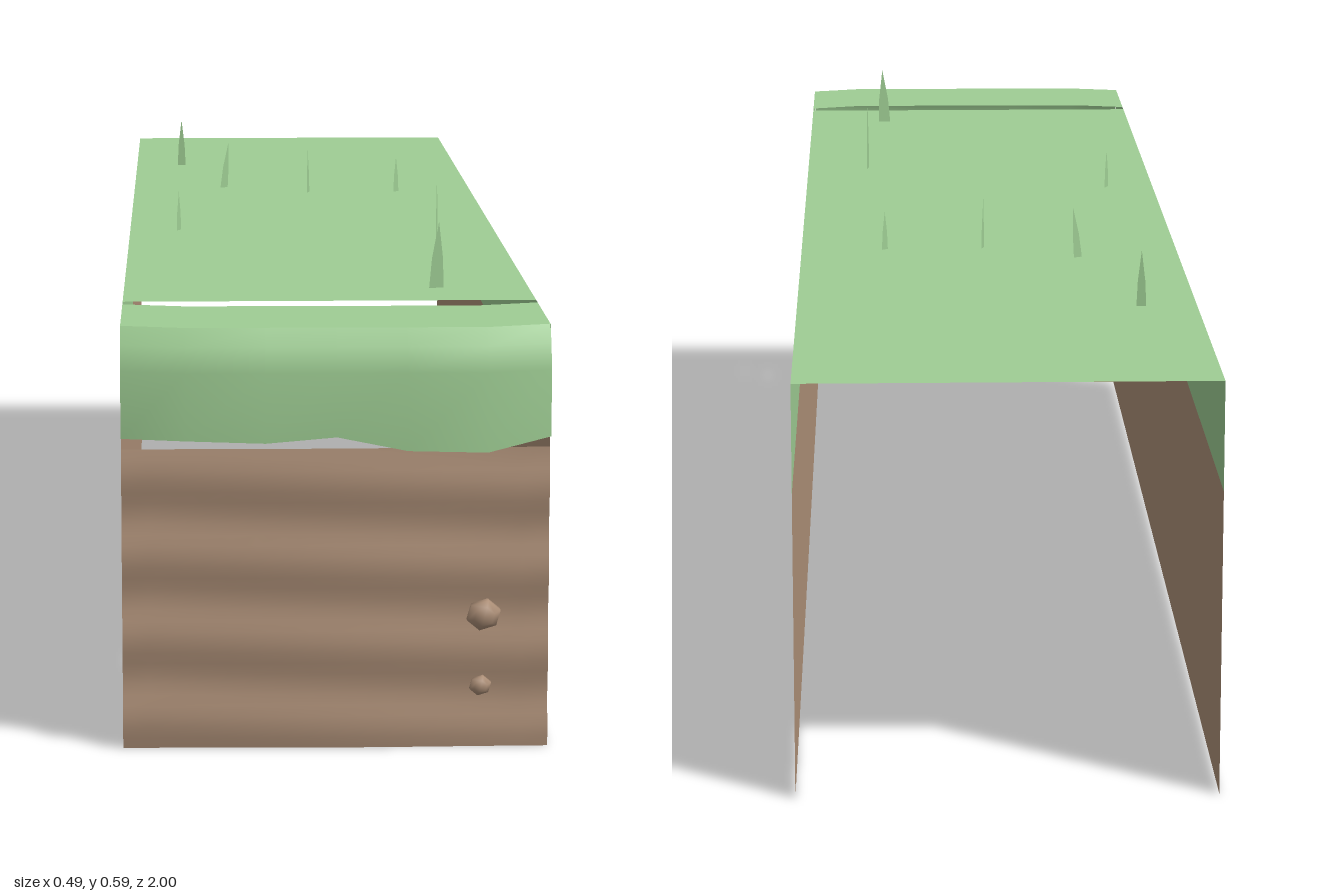
import * as THREE from 'three';

const W = 0.243; // half width
const H = 0.488; // top height

function mat(name, color) {
  const m = new THREE.MeshStandardMaterial({ color, side: THREE.DoubleSide });
  m.name = name;
  return m;
}

// Piecewise-linear lookup in a list of [key, value] pairs
function lookup(table, x) {
  for (let i = 1; i < table.length; i++) {
    const [x0, y0] = table[i - 1], [x1, y1] = table[i];
    if (x <= x1) return y0 + (y1 - y0) * (x - x0) / (x1 - x0);
  }
  return table[table.length - 1][1];
}

// Smooth sheet: fn(u, v) gives a point; u runs left to right, v top to bottom
function sheet(fn, nu, nv) {
  const g = new THREE.PlaneGeometry(1, 1, nu, nv);
  const p = g.attributes.position;
  for (let i = 0; i < p.count; i++) p.setXYZ(i, ...fn(p.getX(i) + 0.5, 0.5 - p.getY(i)));
  g.computeVertexNormals();
  return g;
}

export function createModel() {
  const group = new THREE.Group();
  const grass = mat('grass green', 0x9fce94);
  const dirt = mat('dirt brown', 0xaf9179);
  const add = (name, geo, material, x = 0, y = 0, z = 0) => {
    const m = new THREE.Mesh(geo, material);
    m.name = name;
    m.position.set(x, y, z);
    group.add(m);
    return m;
  };

  // Flat grass top, open below
  add('grassTop', new THREE.PlaneGeometry(2 * W, 1.77).rotateX(-Math.PI / 2), grass, 0, H, -0.115);

  // Side walls: dirt below, grass band above
  for (const s of [1, -1]) {
    const label = s > 0 ? 'left' : 'right';
    const wall = (h) => new THREE.PlaneGeometry(1.957, h).rotateY(s * Math.PI / 2);
    add(label + 'DirtWall', wall(0.36), dirt, s * W, 0.18, -0.0215);
    add(label + 'GrassBand', wall(H - 0.36), grass, s * W, (H + 0.36) / 2, -0.0215);
  }

  // Rippled dirt front
  add('frontDirt', sheet((u, v) => {
    const x = (u * 2 - 1) * W, y = 0.348 * (1 - v);
    return [x, y, 0.962 + 0.003 * Math.sin(y * 66 + x * 3) + 0.002 * Math.cos(x * 12)];
  }, 16, 28), dirt);

  // Overhanging grass lip: bows forward in the middle, with a wavy lower edge
  const bow = [[-W, 0], [-0.17, 0.018], [0.17, 0.022], [W, 0]];
  const hem = [[-W, 0.363], [-0.17, 0.363], [-0.08, 0.36], [0, 0.367], [0.08, 0.351], [0.16, 0.347], [W, 0.363]];
  const profile = [[0, 0.95, H], [0.33, 0.964, 0.468], [0.67, 0.974, 0.44]];
  const xs = [-W, -0.17, -0.08, 0, 0.08, 0.17, W];
  const n = xs.length - 1;
  const xAt = (u) => xs[Math.round(u * n)];
  add('lipTop', sheet((u, v) => {
    const x = xAt(u);
    return [x, H, 0.79 + 0.16 * v + lookup(bow, x)];
  }, n, 1), grass);
  add('lipFront', sheet((u, v) => {
    const x = xAt(u), row = Math.round(v * 3);
    const [, z, y] = row < 3 ? profile[row] : [1, 0.974, lookup(hem, x)];
    return [x, y, z + lookup(bow, x)];
  }, n, 3), grass);
  add('lipUnderside', sheet((u, v) => {
    const x = xAt(u);
    return [x, lookup(hem, x) - 0.005 * v, 0.974 - 0.03 * v + lookup(bow, x) * (1 - v * 0.3)];
  }, n, 1), dirt);

  // Pebbles set in the dirt front
  for (const [x, y, z, r] of [[0.168, 0.157, 0.972, 0.021], [0.165, 0.073, 0.967, 0.0135]]) {
    const pebble = add('pebble', new THREE.SphereGeometry(r, 6, 5).rotateX(Math.PI / 2), dirt, x, y, z);
    pebble.scale.set(1, 0.88, 0.8);
    pebble.rotation.z = 0.3;
  }

  // Grass blades: x, z, height, width, turn, lean
  const blades = [
    [-0.175, -0.62, 0.069, 0.012, 0, 0],
    [-0.113, -0.335, 0.067, 0.012, 0.5, 0.008],
    [0.008, -0.275, 0.065, 0.014, 1.3, -0.004],
    [0.135, -0.28, 0.05, 0.01, 0.7, 0],
    [-0.178, 0.135, 0.052, 0.013, 1.1, 0],
    [0.157, 0.287, 0.1, 0.018, 1.4, 0.003],
    [0.132, 0.67, 0.08, 0.018, 0.2, 0.003],
  ];
  for (const [x, z, h, w, turn, lean] of blades) {
    const shape = new THREE.Shape([[-w / 2, 0], [w / 2, 0], [w * 0.38 + lean * 0.4, h * 0.45], [lean, h], [-w * 0.38 + lean * 0.4, h * 0.45]]
      .map(([a, b]) => new THREE.Vector2(a, b)));
    add('grassBlade', new THREE.ShapeGeometry(shape), grass, x, H, z).rotation.y = turn;
  }

  return group;
}
